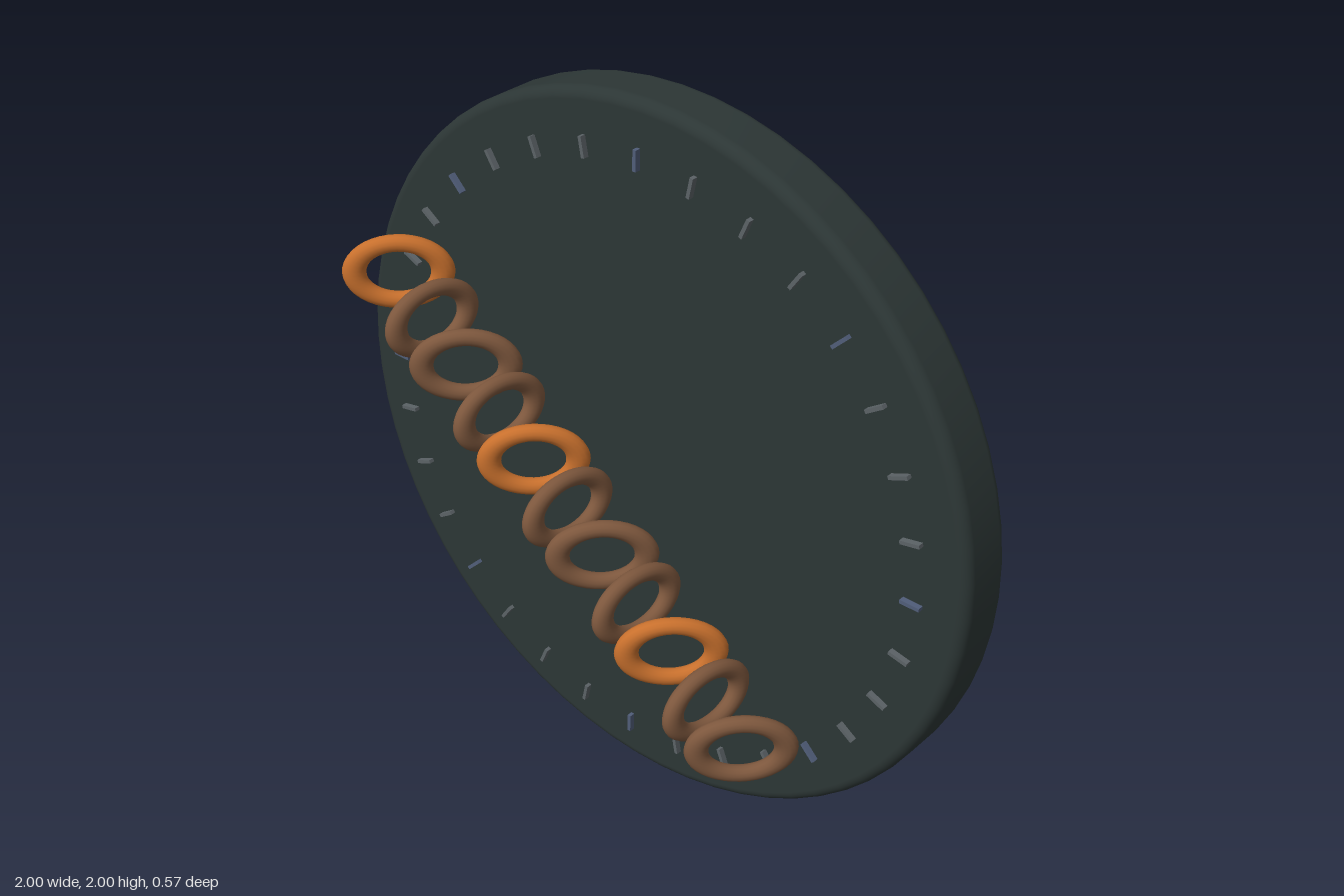
import * as THREE from 'three';

const material = (name, color) => {
  const m = new THREE.MeshStandardMaterial({ color });
  m.name = name;
  return m;
};

export function createModel() {
  const slate = material('dark slate', 0x2c3635);
  const orange = material('copper orange', 0xc8702d);
  const brown = material('aged bronze', 0x7d573d);
  const steel = material('steel grey', 0x5b6266);
  const blue = material('blue grey', 0x505d78);

  const model = new THREE.Group();
  model.name = 'chainDial';
  const add = (name, geometry, mat, parent = model) => {
    const mesh = new THREE.Mesh(geometry, mat);
    mesh.name = name;
    parent.add(mesh);
    return mesh;
  };

  // Round backing disc with softly rounded rims
  const half = 0.081, bevel = 0.03, profile = [new THREE.Vector2(0, -half)];
  for (const side of [-1, 1]) {
    for (let i = 0; i <= 6; i++) {
      const a = (side < 0 ? i - 6 : i) / 6 * Math.PI / 2;
      profile.push(new THREE.Vector2(
        1 - bevel + bevel * Math.cos(a),
        side * (half - bevel) + bevel * Math.sin(a)));
    }
  }
  profile.push(new THREE.Vector2(0, half));
  const disc = add('backingDisc', new THREE.LatheGeometry(profile, 64), slate);
  disc.rotation.x = Math.PI / 2;
  disc.position.set(0, 1, -0.203);

  // Radial tick marks floating just ahead of the disc
  const ticks = new THREE.Group();
  ticks.name = 'tickMarks';
  model.add(ticks);
  const tickGeometry = new THREE.BoxGeometry(0.01, 0.055, 0.016);
  for (let i = 0; i < 32; i++) {
    const a = i / 32 * Math.PI * 2;
    const tick = add('tickMark', tickGeometry, i % 4 ? steel : blue, ticks);
    tick.position.set(0.86 * Math.sin(a), 1 + 0.86 * Math.cos(a), -0.105);
    tick.rotation.z = -a;
  }

  // Diagonal chain of oval links, alternately turned
  const chain = new THREE.Group();
  chain.name = 'chain';
  model.add(chain);
  const linkGeometry = new THREE.TorusGeometry(0.08, 0.022, 14, 40);
  for (let i = 0; i < 11; i++) {
    const odd = i % 2 === 1;
    const link = add('chainLink', linkGeometry, i % 4 ? brown : orange, chain);
    link.scale.set(1.4, odd ? 0.96 : 1, 1);
    link.rotation.order = 'ZYX';
    link.rotation.y = odd ? 1.45 : Math.PI / 4;
    link.rotation.z = odd ? 0.1 : 0;
    link.position.set((i - 5) * 0.115, 1.005 - (i - 5) * 0.0915, 0.142);
  }
  return model;
}
